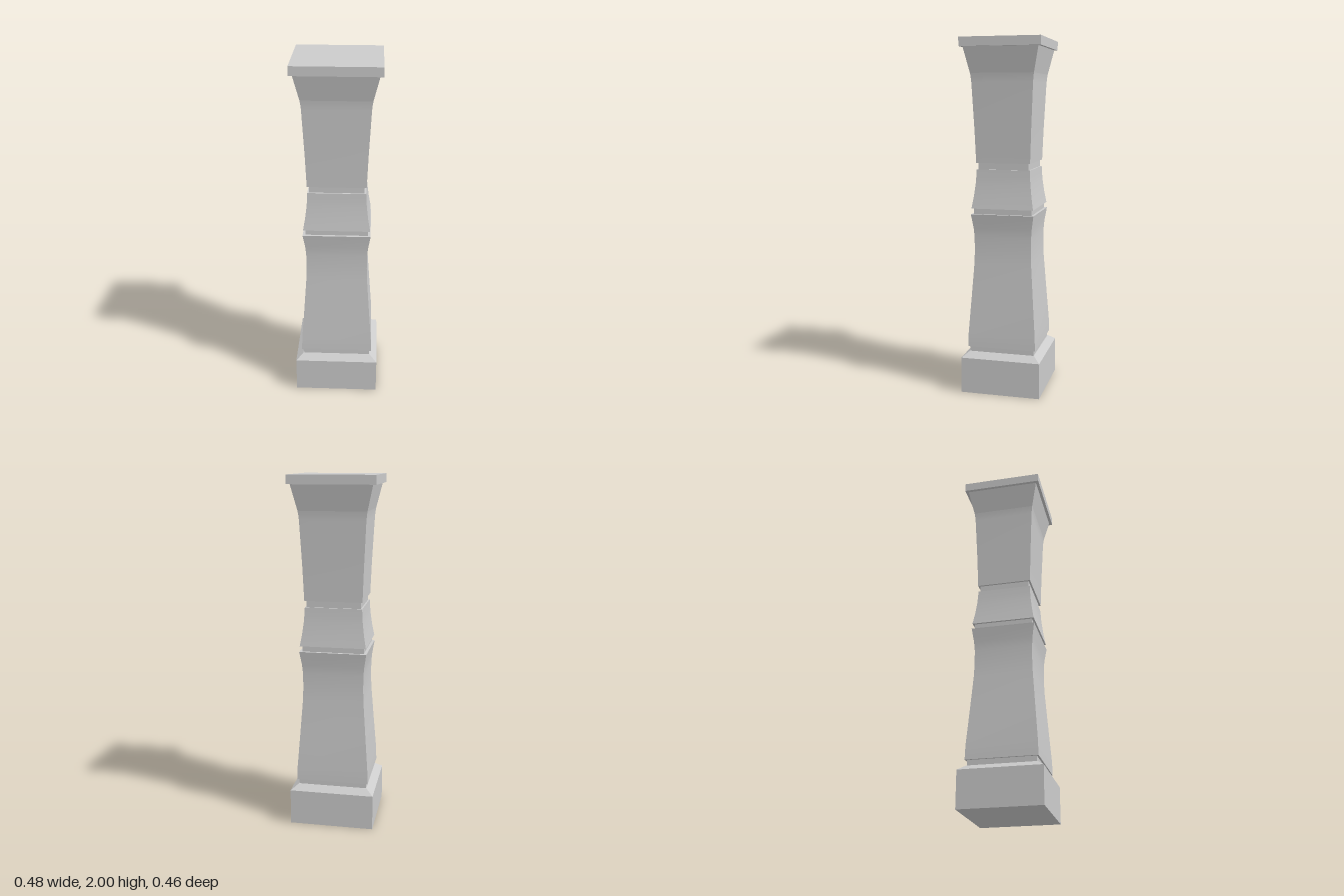
import * as THREE from 'three';

const DEPTH = 0.945; // depth of the post relative to its width

// Rectangular loft through [y, halfWidth] pairs: smooth up each side, sharp at the corners
function loft(name, profile, material) {
  const pos = [], index = [];
  const corners = [[-1, 1], [1, 1], [1, -1], [-1, -1]];
  const n = profile.length;
  for (let s = 0; s < 4; s++) {
    const base = pos.length / 3, a = corners[s], b = corners[(s + 1) % 4];
    for (const [y, w] of profile) {
      for (const [cx, cz] of [a, b]) pos.push(cx * w, y, cz * w * DEPTH);
    }
    for (let i = 0; i < n - 1; i++) {
      const k = base + i * 2;
      index.push(k, k + 1, k + 3, k, k + 3, k + 2);
    }
  }
  // flat ends
  for (const [end, up] of [[profile[0], false], [profile[n - 1], true]]) {
    const k = pos.length / 3;
    for (const [cx, cz] of corners) pos.push(cx * end[1], end[0], cz * end[1] * DEPTH);
    if (up) index.push(k, k + 1, k + 2, k, k + 2, k + 3);
    else index.push(k, k + 2, k + 1, k, k + 3, k + 2);
  }
  const geo = new THREE.BufferGeometry();
  geo.setAttribute('position', new THREE.Float32BufferAttribute(pos, 3));
  geo.setIndex(index);
  geo.computeVertexNormals();
  const mesh = new THREE.Mesh(geo, material);
  mesh.name = name;
  return mesh;
}

export function createModel() {
  const group = new THREE.Group();
  group.name = 'squarePost';
  const mat = new THREE.MeshStandardMaterial({ color: 0xcccccc });

  const parts = {
    // plinth with a chamfered top edge
    plinth: [[0, 0.241], [0.205, 0.241]],
    plinthChamfer: [[0.205, 0.241], [0.235, 0.2]],
    // recessed bands between the shaft sections
    lowerNeck: [[0.235, 0.196], [0.265, 0.196]],
    middleGroove: [[1.03, 0.174], [1.062, 0.174]],
    upperGroove: [[1.28, 0.152], [1.317, 0.152]],
    // shaft sections
    lowerShaft: [[0.265, 0.207], [0.34, 0.205], [0.55, 0.189], [0.74, 0.175],
      [0.82, 0.172], [0.9, 0.173], [0.95, 0.177], [1.03, 0.19]],
    middleShaft: [[1.062, 0.187], [1.13, 0.175], [1.2, 0.166], [1.24, 0.163], [1.28, 0.161]],
    upperShaft: [[1.317, 0.163], [1.5, 0.17], [1.76, 0.183], [1.79, 0.186], [1.81, 0.189]],
    // flared capital and top slab
    capital: [[1.81, 0.189], [1.95, 0.222]],
    capSlab: [[1.95, 0.24], [2, 0.24]],
  };
  for (const [name, profile] of Object.entries(parts)) group.add(loft(name, profile, mat));
  return group;
}
